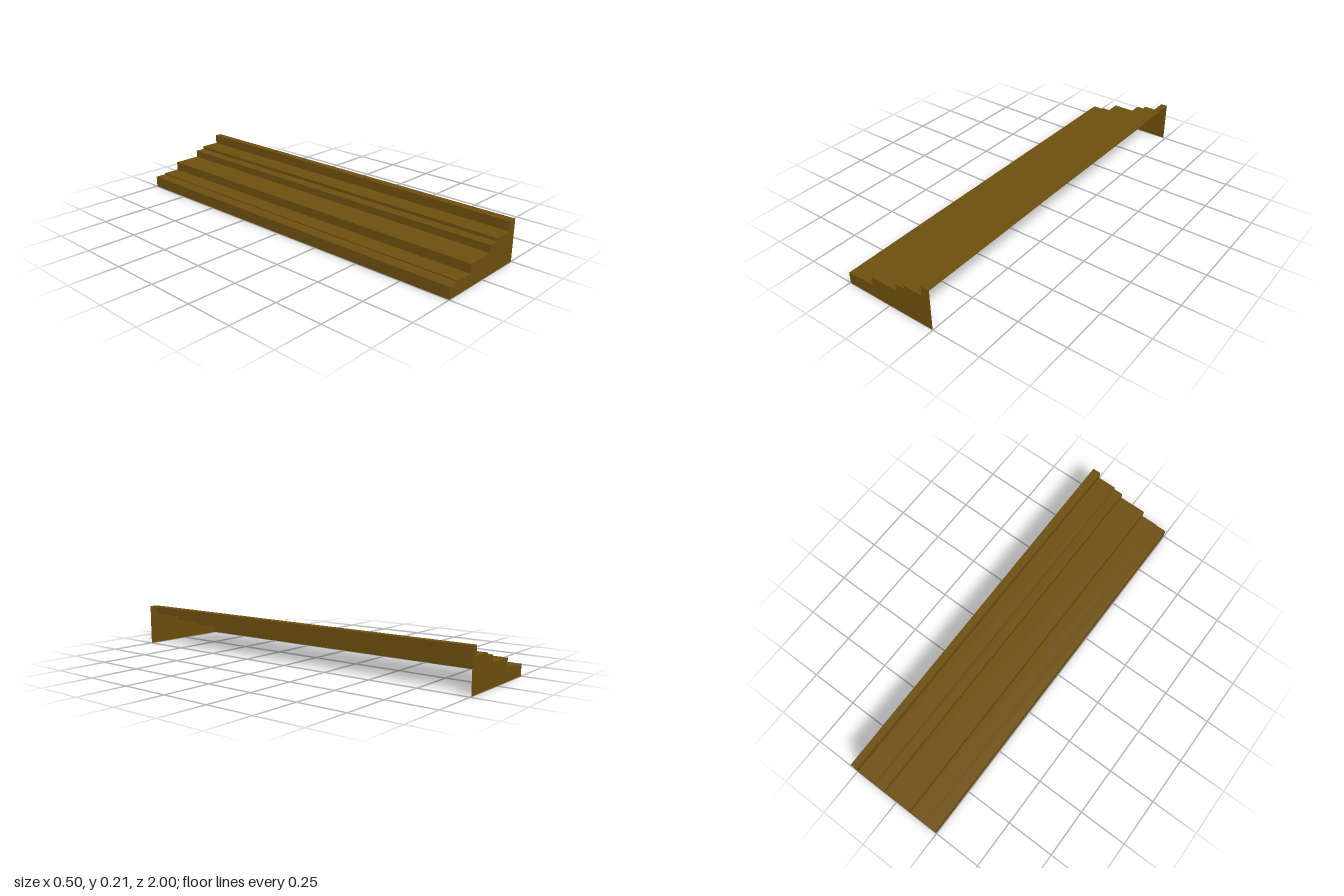
import * as THREE from 'three';

// Stepped profile: [x, y] from the low foot to the open high edge
const FRONT = [
  [-0.248, 0], [-0.248, 0.058], [-0.188, 0.058], [-0.188, 0.064], [-0.098, 0.064],
  [-0.098, 0.11], [0.05, 0.11], [0.05, 0.147], [0.102, 0.147], [0.102, 0.163],
  [0.203, 0.163], [0.203, 0.211], [0.248, 0.211],
];
// The high edge runs slightly inward towards the back
const BACK = FRONT.map(([x, y], i) => (i === FRONT.length - 1 ? [0.238, y] : [x, y]));

export function createModel() {
  const group = new THREE.Group();
  const material = new THREE.MeshStandardMaterial({
    color: 0x6e4f0e, flatShading: true, side: THREE.DoubleSide,
  });
  const add = (name, geometry) => {
    const mesh = new THREE.Mesh(geometry, material);
    mesh.name = name;
    group.add(mesh);
    return mesh;
  };

  // Thin stepped sheet: alternating risers and treads, open below and along +x
  for (let i = 0; i < FRONT.length - 1; i++) {
    const a = [...FRONT[i], 1], b = [...FRONT[i + 1], 1];
    const c = [...BACK[i + 1], -1], d = [...BACK[i], -1];
    const geometry = new THREE.BufferGeometry();
    geometry.setAttribute('position', new THREE.Float32BufferAttribute([a, b, c, d].flat(), 3));
    geometry.setIndex([0, 1, 2, 0, 2, 3]);
    geometry.computeVertexNormals();
    // Winding a-b-c faces outward (up for treads, -x for risers)
    add(`${i % 2 ? 'tread' : 'riser'}${(i >> 1) + 1}`, geometry);
  }

  // Flat end panels closing the profile down to the ground
  const endPanel = (name, profile, facing) => {
    const points = [...profile, [profile.at(-1)[0], 0]].map(([x, y]) => new THREE.Vector2(x * facing, y));
    const panel = add(name, new THREE.ShapeGeometry(new THREE.Shape(points)));
    panel.position.z = facing;
    if (facing < 0) panel.rotation.y = Math.PI;
  };
  endPanel('frontEndPanel', FRONT, 1);
  endPanel('backEndPanel', BACK, -1);

  return group;
}
